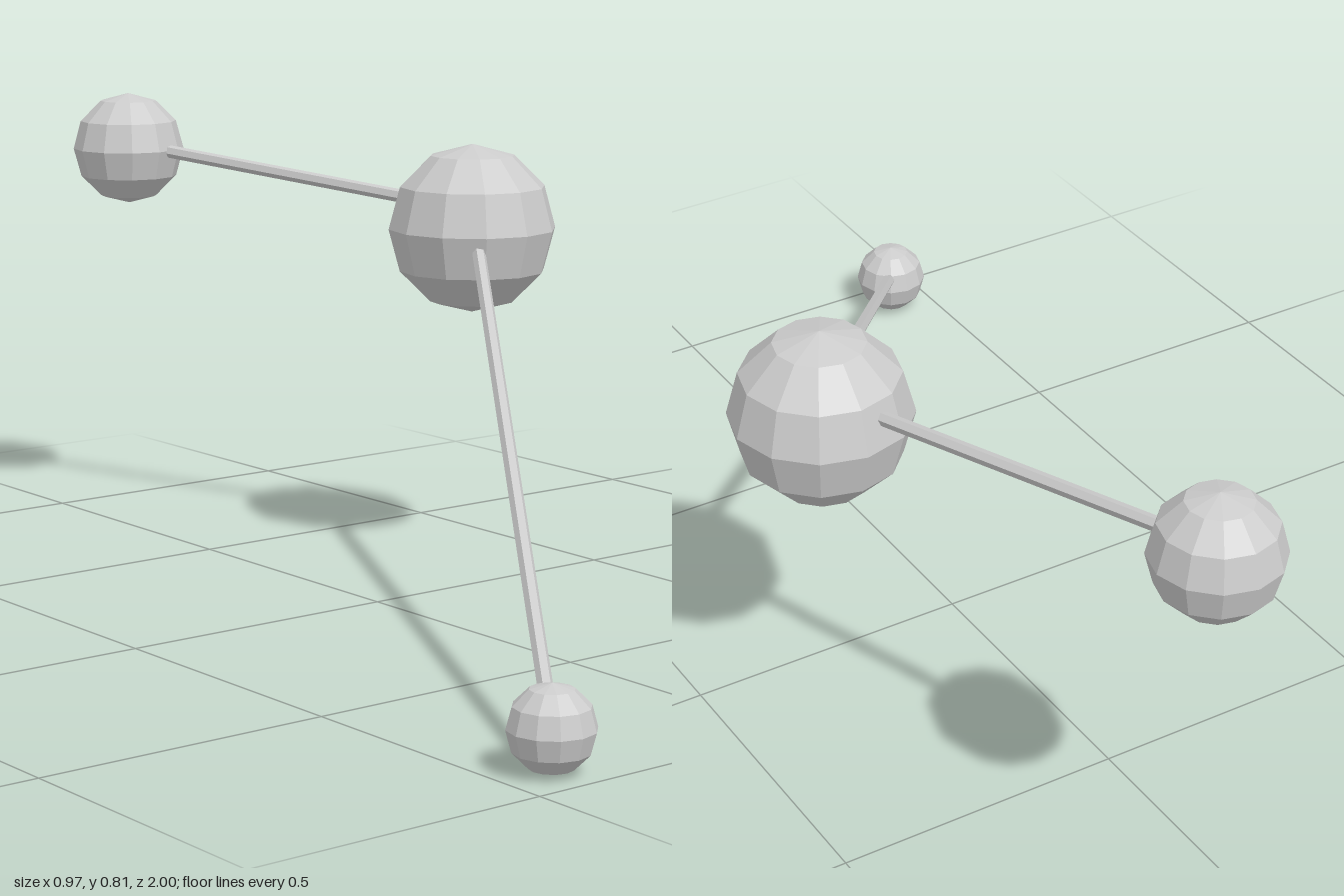
import * as THREE from 'three';

const material = new THREE.MeshStandardMaterial({ color: 0xcccccc, flatShading: true });

// Faceted ball with its poles on the y axis
function ball(name, radius, position) {
  const mesh = new THREE.Mesh(new THREE.SphereGeometry(radius, 12, 6), material);
  mesh.name = name;
  mesh.position.copy(position);
  return mesh;
}

// Thin six-sided rod between two points
function rod(name, from, to, radius = 0.012) {
  const span = to.clone().sub(from);
  const mesh = new THREE.Mesh(new THREE.CylinderGeometry(radius, radius, span.length(), 6), material);
  mesh.name = name;
  mesh.position.copy(from).addScaledVector(span, 0.5);
  mesh.quaternion.setFromUnitVectors(new THREE.Vector3(0, 1, 0), span.normalize());
  return mesh;
}

export function createModel() {
  const group = new THREE.Group();
  group.name = 'ballAndRodModel';

  const centre = new THREE.Vector3(0.334, 0.606, -0.151);
  const back = new THREE.Vector3(0.097, 0.703, -0.895);
  const front = new THREE.Vector3(-0.419, 0.068, 0.932);

  group.add(
    ball('centreBall', 0.151, centre),
    ball('backBall', 0.105, back),
    ball('frontBall', 0.067, front)
  );

  // Both rods meet slightly above the middle of the centre ball
  const joint = centre.clone().setY(0.639);
  group.add(
    rod('frontRod', front, joint),
    rod('backRod', back.clone().setY(0.711), joint)
  );
  return group;
}
